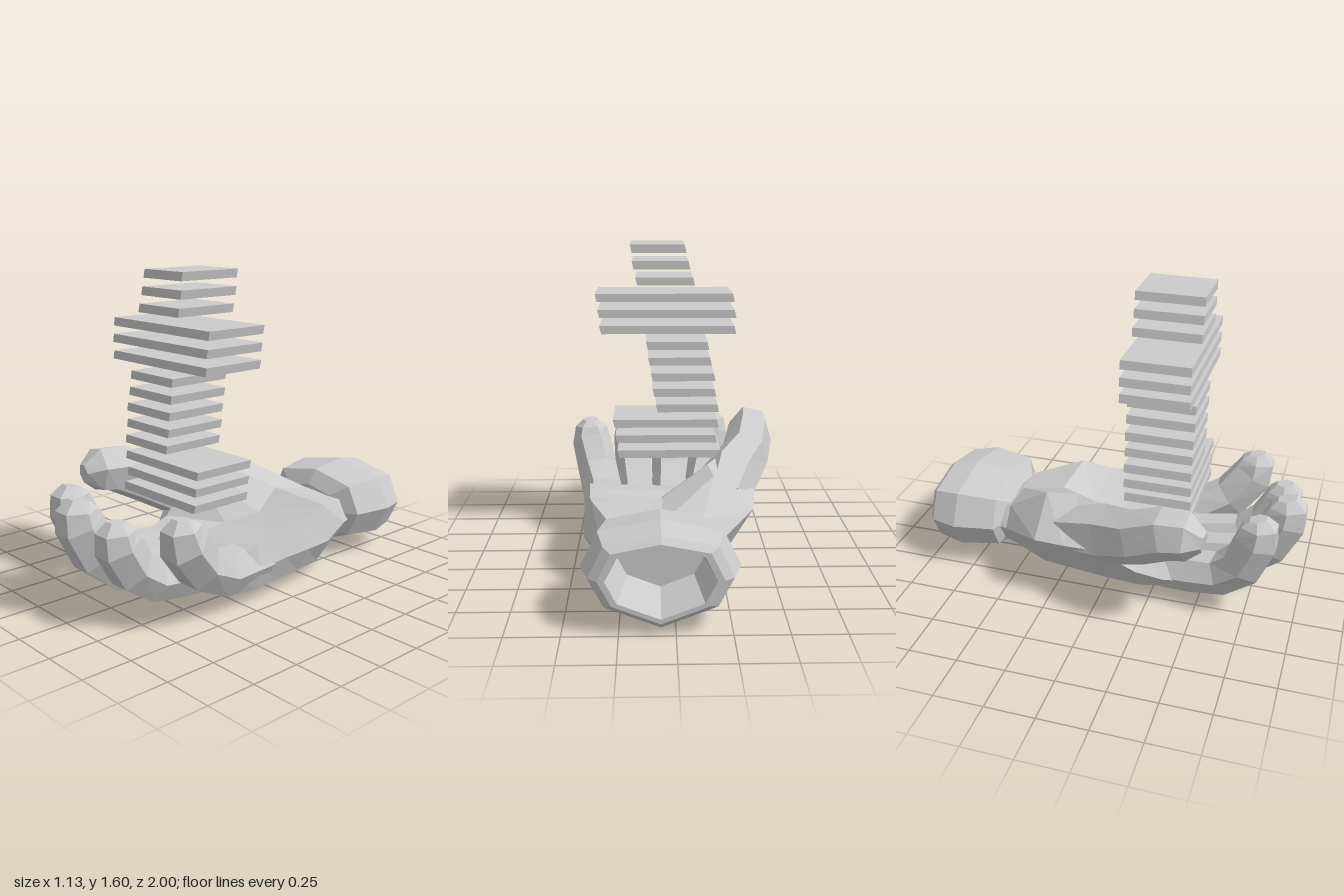
import * as THREE from 'three';

const material = new THREE.MeshStandardMaterial({ color: 0xcccccc, flatShading: true });

// Skin a list of rings (counter-clockwise about the direction of travel) and cap both ends.
function loft(name, rings) {
  const n = rings[0].length, index = [];
  const pts = rings.flat();
  const last = (rings.length - 1) * n;
  for (let r = 0; r < rings.length - 1; r++) {
    for (let i = 0; i < n; i++) {
      const a = r * n + i, b = r * n + (i + 1) % n;
      index.push(a, b, b + n, a, b + n, a + n);
    }
  }
  [rings[0], rings[rings.length - 1]].forEach((ring, end) => {
    const c = new THREE.Vector3();
    ring.forEach(p => c.addScaledVector(p, 1 / n));
    const k = pts.push(c) - 1, o = end ? last : 0;
    for (let i = 0; i < n; i++) {
      const a = o + i, b = o + (i + 1) % n;
      index.push(k, ...(end ? [a, b] : [b, a]));
    }
  });
  let geo = new THREE.BufferGeometry().setFromPoints(pts);
  geo.setIndex(index);
  geo = geo.toNonIndexed();
  geo.computeVertexNormals();
  const mesh = new THREE.Mesh(geo, material);
  mesh.name = name;
  return mesh;
}

// Six-sided limb along a path of [x, y, z, radius], rolled by an angle.
function digit(name, path, roll = 0) {
  const p = path.map(q => new THREE.Vector3(q[0], q[1], q[2]));
  const rings = p.map((c, i) => {
    const t = p[Math.min(i + 1, p.length - 1)].clone().sub(p[Math.max(i - 1, 0)]).normalize();
    const u = new THREE.Vector3(1, 0, 0);
    u.addScaledVector(t, -u.dot(t)).normalize();
    const v = t.clone().cross(u);
    return Array.from({ length: 6 }, (_, k) => {
      const a = k * Math.PI / 3 + roll, r = path[i][3];
      return c.clone().addScaledVector(u, r * Math.cos(a)).addScaledVector(v, 1.08 * r * Math.sin(a));
    });
  });
  return loft(name, rings);
}

export function createModel() {
  const model = new THREE.Group();
  const hand = new THREE.Group();
  hand.name = 'hand';
  model.add(hand);

  // Cuff: hollow eight-sided band, running from the inside out to the front
  const outline = [[0, 0.235], [-0.28, 0.18], [-0.358, 0.02], [-0.28, -0.13], [0, -0.238], [0.28, -0.13], [0.358, 0.02], [0.28, 0.18]];
  const cuff = [[-0.72, 0.55], [-1, 0.68], [-1, 0.77], [-0.97, 0.89], [-0.83, 1], [-0.62, 0.89], [-0.57, 0.55]];
  hand.add(loft('cuff', cuff.map(([z, s]) =>
    outline.map(([x, y]) => new THREE.Vector3(0.065 + x * s, 0.24 + y * s, z)))));

  // Palm sections: left edge, under the palm to the right edge, back over the top
  const palm = [
    [-0.66, [[-0.18, 0.24], [-0.12, 0.13], [0.06, 0.1], [0.25, 0.13], [0.31, 0.22], [0.26, 0.32], [0.06, 0.33], [-0.13, 0.32]]],
    [-0.56, [[-0.21, 0.25], [-0.14, 0.13], [0.06, 0.09], [0.27, 0.12], [0.34, 0.22], [0.28, 0.33], [0.06, 0.35], [-0.13, 0.35]]],
    [-0.32, [[-0.4, 0.34], [-0.27, 0.13], [0.06, 0.03], [0.36, 0.07], [0.44, 0.2], [0.4, 0.385], [0.05, 0.4], [-0.2, 0.51]]],
    [-0.15, [[-0.42, 0.35], [-0.28, 0.12], [0.06, 0.022], [0.39, 0.07], [0.455, 0.2], [0.42, 0.35], [0.1, 0.31], [-0.18, 0.52]]],
    [0.02, [[-0.43, 0.36], [-0.28, 0.1], [0.05, 0.02], [0.41, 0.075], [0.46, 0.2], [0.43, 0.33], [0.02, 0.27], [-0.23, 0.5]]],
    [0.2, [[-0.33, 0.2], [-0.26, 0.075], [0.05, 0.025], [0.43, 0.075], [0.47, 0.19], [0.44, 0.31], [0.04, 0.27], [-0.25, 0.28]]],
    [0.34, [[-0.3, 0.16], [-0.24, 0.08], [0.03, 0.045], [0.42, 0.085], [0.46, 0.18], [0.41, 0.25], [0.03, 0.25], [-0.22, 0.25]]],
    [0.44, [[-0.26, 0.15], [-0.2, 0.11], [0.03, 0.09], [0.34, 0.12], [0.38, 0.14], [0.34, 0.17], [0.03, 0.18], [-0.2, 0.17]]],
  ];
  hand.add(loft('palm', palm.map(([z, ring]) => ring.map(([x, y]) => new THREE.Vector3(x, y, z)))));

  // Four curled fingers: palm end, mid, knuckle, curl, tip
  const fingers = [
    ['indexFinger', [[-0.165, 0.15, 0.2, 0.1], [-0.185, 0.165, 0.45, 0.105], [-0.2, 0.19, 0.61, 0.105], [-0.225, 0.29, 0.725, 0.11], [-0.24, 0.45, 0.79, 0.108], [-0.24, 0.535, 0.8, 0.09], [-0.24, 0.575, 0.79, 0.045]]],
    ['middleFinger', [[0.005, 0.13, 0.2, 0.105], [0, 0.155, 0.45, 0.105], [-0.005, 0.195, 0.7, 0.105], [-0.01, 0.3, 0.82, 0.113], [-0.015, 0.46, 0.9, 0.112], [-0.015, 0.535, 0.91, 0.095], [-0.015, 0.58, 0.9, 0.05]]],
    ['ringFinger', [[0.18, 0.13, 0.2, 0.1], [0.19, 0.155, 0.45, 0.105], [0.205, 0.185, 0.65, 0.103], [0.215, 0.275, 0.775, 0.108], [0.225, 0.41, 0.855, 0.107], [0.225, 0.48, 0.865, 0.09], [0.225, 0.525, 0.86, 0.045]]],
    ['littleFinger', [[0.36, 0.19, 0.1, 0.108], [0.375, 0.19, 0.36, 0.112], [0.415, 0.285, 0.54, 0.112], [0.455, 0.43, 0.66, 0.112], [0.46, 0.515, 0.68, 0.09], [0.46, 0.555, 0.675, 0.045]]],
  ];
  fingers.forEach(([name, path]) => hand.add(digit(name, path)));

  // Thumb, rising from the mound at the side of the palm
  hand.add(digit('thumb', [
    [-0.25, 0.33, -0.2, 0.12], [-0.31, 0.39, 0.05, 0.15], [-0.41, 0.47, 0.23, 0.13],
    [-0.445, 0.54, 0.38, 0.125], [-0.455, 0.55, 0.49, 0.115], [-0.465, 0.54, 0.57, 0.05],
  ], 0.2));

  // Stack of floating slanted slabs: left and right ends, bottom to top
  const slabs = [
    [-0.27, 0.28], [-0.24, 0.29], [-0.25, 0.303], [-0.25, 0.075], [-0.235, 0.092], [-0.23, 0.1], [-0.21, 0.115],
    [-0.195, 0.125], [-0.335, 0.367], [-0.335, 0.376], [-0.325, 0.388], [-0.12, 0.178], [-0.095, 0.196], [-0.075, 0.205],
  ];
  const stack = new THREE.Group();
  stack.name = 'slabStack';
  const shear = new THREE.Matrix4().makeShear(0, 0, 0.22, 0, 0, 0);
  slabs.forEach(([l, r], i) => {
    const slab = new THREE.Mesh(new THREE.BoxGeometry(r - l, 0.042, 0.34).applyMatrix4(shear), material);
    slab.name = 'slab' + (i + 1);
    slab.position.set((l + r) / 2, 0.5 + i * 0.0835, 0.281);
    stack.add(slab);
  });
  model.add(stack);
  return model;
}
